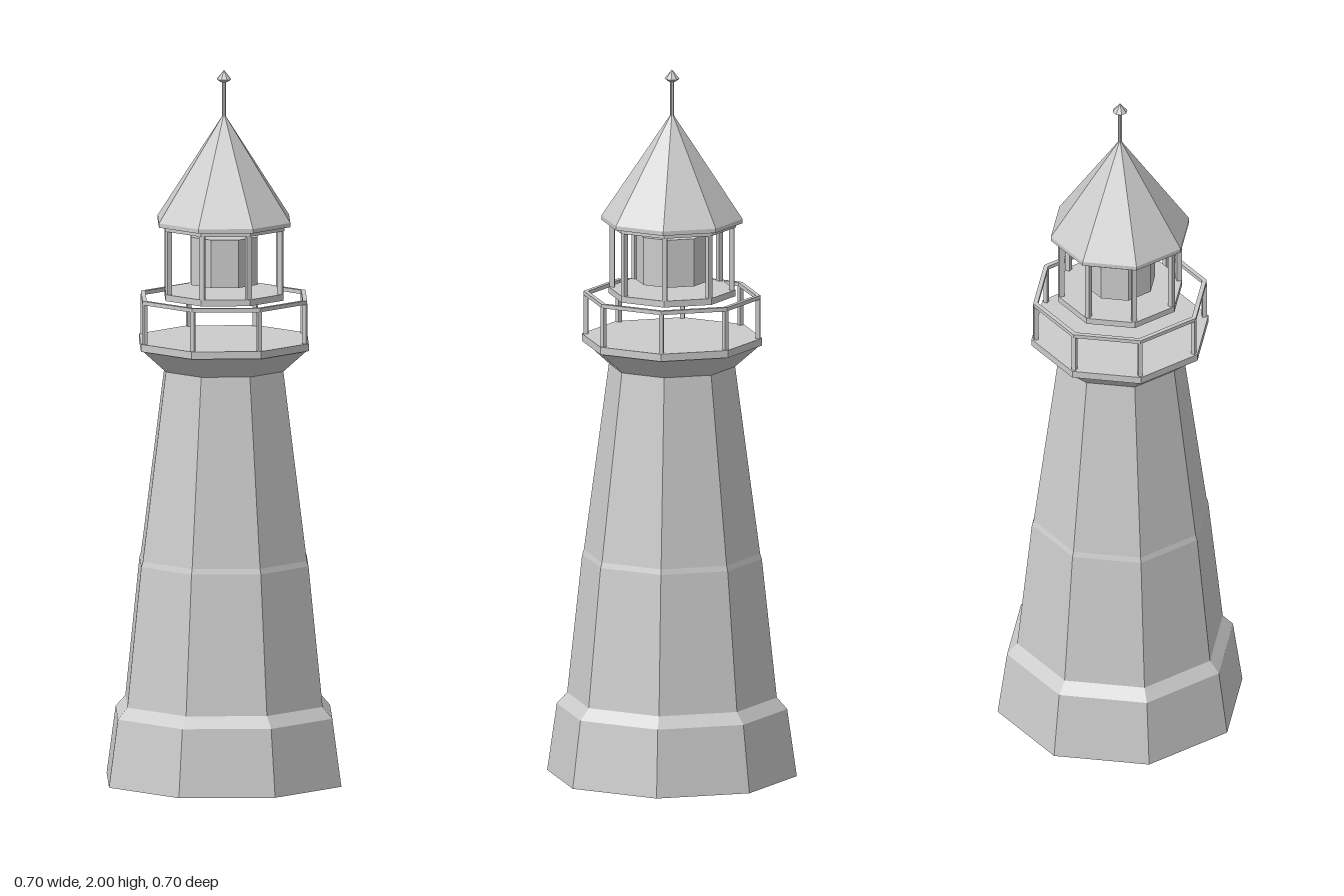
import * as THREE from 'three';

const SIDES = 8;
const material = new THREE.MeshStandardMaterial({ color: 0xcccccc, flatShading: true });

function add(parent, name, geometry) {
  const mesh = new THREE.Mesh(geometry, material);
  mesh.name = name;
  parent.add(mesh);
  return mesh;
}

// Octagonal solid or ring from [radius, height] pairs, listed from bottom to top on the outside
function octagon(profile) {
  return new THREE.LatheGeometry(profile.map(([r, y]) => new THREE.Vector2(r, y)), SIDES);
}

// Closed octagonal ring with a rectangular section
function ring(inner, outer, bottom, top) {
  return octagon([[inner, bottom], [outer, bottom], [outer, top], [inner, top], [inner, bottom]]);
}

// One square post at every corner of the octagon
function posts(parent, name, radius, width, bottom, top) {
  for (let i = 0; i < SIDES; i++) {
    const angle = (i / SIDES) * Math.PI * 2;
    const post = add(parent, name, new THREE.BoxGeometry(width, top - bottom, width));
    post.position.set(Math.sin(angle) * radius, (bottom + top) / 2, Math.cos(angle) * radius);
    post.rotation.y = angle;
  }
}

export function createModel() {
  const model = new THREE.Group();
  model.name = 'lighthouse';

  // Tower with stepped foot, tapering shaft and flared gallery support
  add(model, 'tower', octagon([
    [0, 0], [0.35, 0], [0.323, 0.19], [0.294, 0.222], [0.252, 0.615], [0.247, 0.63],
    [0.177, 1.16], [0.25, 1.225], [0, 1.225],
  ]));

  // Gallery deck and railing
  const gallery = new THREE.Group();
  gallery.name = 'gallery';
  model.add(gallery);
  add(gallery, 'deck', octagon([[0, 1.222], [0.253, 1.222], [0.253, 1.243], [0, 1.243]]));
  posts(gallery, 'railingPost', 0.241, 0.012, 1.243, 1.355);
  add(gallery, 'handrail', ring(0.235, 0.248, 1.353, 1.364));

  // Open lantern room with the lamp inside
  const lantern = new THREE.Group();
  lantern.name = 'lantern';
  model.add(lantern);
  add(lantern, 'lanternFloor', octagon([[0, 1.36], [0.178, 1.36], [0.178, 1.378], [0, 1.378]]));
  posts(lantern, 'lanternPost', 0.168, 0.014, 1.378, 1.56);
  add(lantern, 'lanternTopRing', ring(0.155, 0.18, 1.556, 1.572));
  add(lantern, 'lamp', octagon([[0, 1.4], [0.1, 1.4], [0.1, 1.535], [0, 1.535]]));

  // Pointed roof with finial
  add(model, 'roof', octagon([[0, 1.568], [0.198, 1.568], [0.198, 1.58], [0, 1.878]]));
  add(model, 'finialPole', octagon([[0, 1.86], [0.006, 1.86], [0.006, 1.98], [0, 1.98]]));
  add(model, 'finialTip', octagon([[0, 1.966], [0.01, 1.966], [0.021, 1.974], [0, 2]]));

  return model;
}
